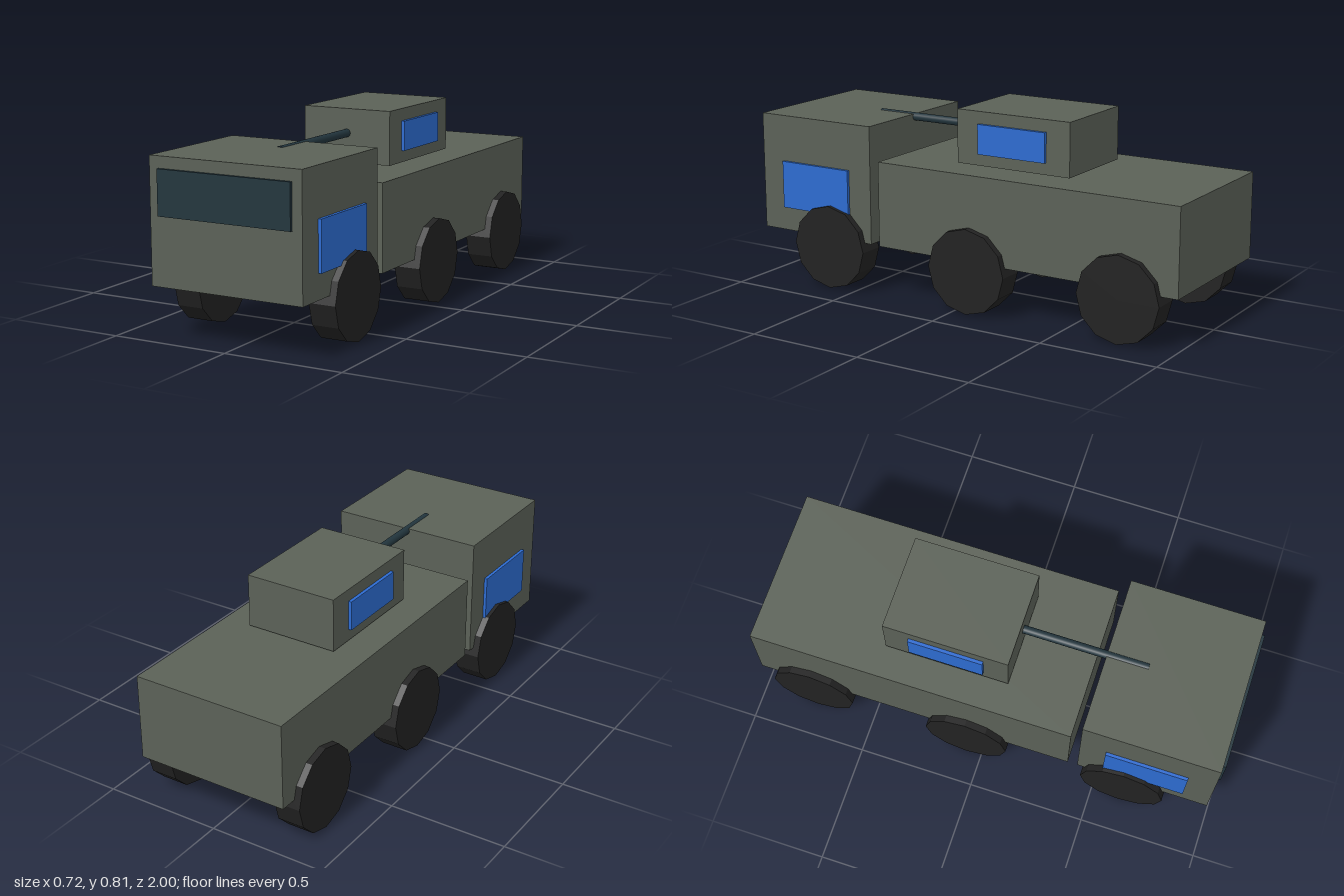
import * as THREE from 'three';

const paint = (name, color) => {
  const m = new THREE.MeshStandardMaterial({ color });
  m.name = name;
  return m;
};

export function createModel() {
  const armour = paint('olive armour', 0x5b6157);
  const rubber = paint('black rubber', 0x222222);
  const blue = paint('blue panel', 0x2d6bd0);
  const steel = paint('dark blue steel', 0x22353d);
  rubber.flatShading = true;

  const model = new THREE.Group();
  model.name = 'armouredTruck';

  // Box given by its minimum and maximum corners
  const box = (name, material, [x0, y0, z0], [x1, y1, z1]) => {
    const mesh = new THREE.Mesh(new THREE.BoxGeometry(x1 - x0, y1 - y0, z1 - z0), material);
    mesh.position.set((x0 + x1) / 2, (y0 + y1) / 2, (z0 + z1) / 2);
    mesh.name = name;
    model.add(mesh);
  };

  // Body: cab, rear hull and turret, with small gaps between them
  box('cab', armour, [-0.332, 0.215, 0.421], [0.332, 0.718, 0.987]);
  box('hull', armour, [-0.332, 0.213, -1], [0.332, 0.574, 0.379]);
  box('turret', armour, [-0.2, 0.584, -0.454], [0.2, 0.808, 0.071]);

  // Windscreen
  box('windscreen', steel, [-0.29, 0.49, 0.987], [0.29, 0.671, 1]);

  for (const [side, s] of [['left', 1], ['right', -1]]) {
    // Side panels stand slightly proud of the armour
    const panel = (name, x0, x1, y0, y1, z0, z1) =>
      box(side + name, blue, [Math.min(s * x0, s * x1), y0, z0], [Math.max(s * x0, s * x1), y1, z1]);
    panel('CabPanel', 0.332, 0.345, 0.317, 0.52, 0.53, 0.875);
    panel('TurretPanel', 0.2, 0.214, 0.633, 0.757, -0.347, -0.033);

    // Three twelve-sided wheels per side
    [['Front', 0.623], ['Middle', -0.067], ['Rear', -0.757]].forEach(([name, z]) => {
      const wheel = new THREE.Mesh(new THREE.CylinderGeometry(0.179, 0.179, 0.114, 12), rubber);
      wheel.rotation.z = Math.PI / 2;
      wheel.position.set(s * 0.304, 0.179, z);
      wheel.name = side + name + 'Wheel';
      model.add(wheel);
    });
  }

  // Gun barrel, partly sunk into the cab roof
  const barrel = new THREE.Mesh(new THREE.CylinderGeometry(0.0175, 0.0175, 0.526, 12), steel);
  barrel.rotation.x = Math.PI / 2;
  barrel.position.set(0, 0.706, 0.332);
  barrel.name = 'gunBarrel';
  model.add(barrel);

  return model;
}
